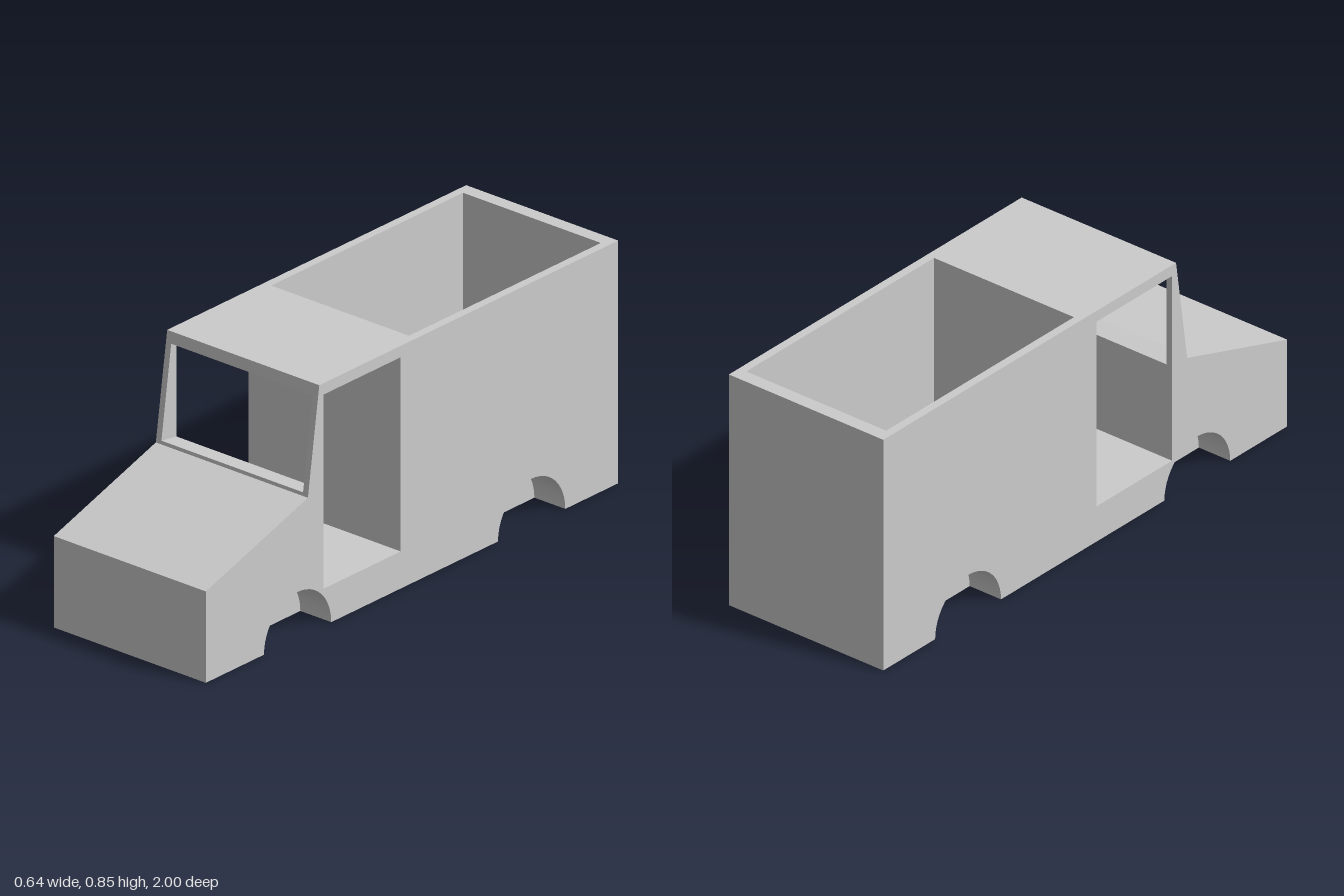
import * as THREE from 'three';
import { mergeGeometries } from 'three/addons/utils/BufferGeometryUtils.js';

const W = 0.32, H = 0.85;                                // half width, height
const HOOD = { y0: 0.32, z: 0.505, y1: 0.475 };
const ROOF_Z = 0.45;
const DOOR = { z0: 0.055, z1: 0.43, y0: 0.13, y1: 0.81 };
const GLASS = { x: 0.298, y0: 0.487, y1: 0.81 };
const BED = { x: 0.29, z0: -0.95, z1: -0.02, y: 0.2 };
const ARCH = { zs: [0.555, -0.58], r: 0.163, depth: 0.13, steps: 24 };

// Flat polygon through 3D points, with holes, facing roughly along dir
function face(dir, outline, ...holes) {
  const pts = outline.map(p => new THREE.Vector3(...p));
  const n = new THREE.Vector3();
  pts.forEach((p, i) => n.add(p.clone().cross(pts[(i + 1) % pts.length])));
  n.normalize();
  if (n.dot(new THREE.Vector3(...dir)) < 0) n.negate();
  const u = pts[1].clone().sub(pts[0]).normalize();
  const v = n.clone().cross(u);
  const flat = p => {
    const d = new THREE.Vector3(...p).sub(pts[0]);
    return new THREE.Vector2(d.dot(u), d.dot(v));
  };
  const shape = new THREE.Shape(outline.map(flat));
  shape.holes = holes.map(h => new THREE.Path(h.map(flat)));
  return new THREE.ShapeGeometry(shape)
    .applyMatrix4(new THREE.Matrix4().makeBasis(u, v, n).setPosition(pts[0]));
}

// Rectangle spanning x = -w..w between two (y, z) edges
const span = (w, y0, z0, y1, z1) => [[-w, y0, z0], [w, y0, z0], [w, y1, z1], [-w, y1, z1]];

// Points of a wheel arch from its front foot to its rear foot, as [y, z]
const archPoints = zc => Array.from({ length: ARCH.steps + 1 }, (_, i) => {
  const a = Math.PI * i / ARCH.steps;
  return [ARCH.r * Math.sin(a), zc + ARCH.r * Math.cos(a)];
});

export function createModel() {
  const group = new THREE.Group();
  const material = new THREE.MeshStandardMaterial({ color: 0xcccccc });
  const add = (name, faces) => {
    const mesh = new THREE.Mesh(mergeGeometries(faces), material);
    mesh.name = name;
    group.add(mesh);
  };
  const sides = [1, -1];

  // Side walls with door opening and arch cutouts
  for (const s of sides) {
    const at = ([y, z]) => [s * W, y, z];
    const outline = [[H, -1], [H, ROOF_Z], [HOOD.y1, HOOD.z], [HOOD.y0, 1], [0, 1],
      ...ARCH.zs.flatMap(archPoints), [0, -1]];
    const door = [[DOOR.y0, DOOR.z0], [DOOR.y0, DOOR.z1], [DOOR.y1, DOOR.z1], [DOOR.y1, DOOR.z0]];
    add(s > 0 ? 'leftSide' : 'rightSide', [face([s, 0, 0], outline.map(at), door.map(at))]);
  }

  // Nose, hood and back
  add('nose', [face([0, 0, 1], span(W, 0, 1, HOOD.y0, 1))]);
  add('hood', [face([0, 1, 0], span(W, HOOD.y0, 1, HOOD.y1, HOOD.z))]);
  add('backWall', [face([0, 0, -1], span(W, 0, -1, H, -1))]);

  // Windscreen frame: the opening is cut square to the sloping front
  const slope = (HOOD.z - ROOF_Z) / (H - HOOD.y1);
  const frontZ = y => HOOD.z - slope * (y - HOOD.y1);
  const innerY = y => y - slope * (frontZ(y) - DOOR.z1);
  const { x: gx, y0: g0, y1: g1 } = GLASS;
  const outer = span(gx, g0, frontZ(g0), g1, frontZ(g1));
  const inner = span(gx, innerY(g0), DOOR.z1, innerY(g1), DOOR.z1);
  const inward = [[0, 1, 0], [-1, 0, 0], [0, -1, 0], [1, 0, 0]];
  add('windscreenFrame', [
    face([0, 0, 1], span(W, HOOD.y1, HOOD.z, H, ROOF_Z), outer),
    ...inward.map((dir, i) => {
      const j = (i + 1) % 4;
      return face(dir, [outer[i], outer[j], inner[j], inner[i]]);
    }),
  ]);

  // Cab passage running from door to door
  add('cabInterior', [
    face([0, 1, 0], span(W, DOOR.y0, DOOR.z0, DOOR.y0, DOOR.z1)),
    face([0, -1, 0], span(W, DOOR.y1, DOOR.z0, DOOR.y1, DOOR.z1)),
    face([0, 0, 1], span(W, DOOR.y0, DOOR.z0, DOOR.y1, DOOR.z0)),
    face([0, 0, -1], span(W, DOOR.y0, DOOR.z1, DOOR.y1, DOOR.z1), inner),
  ]);

  // Roof, open above the cargo bay
  add('roof', [face([0, 1, 0], span(W, H, -1, H, ROOF_Z), span(BED.x, H, BED.z0, H, BED.z1))]);
  add('cargoBay', [
    face([0, 1, 0], span(BED.x, BED.y, BED.z0, BED.y, BED.z1)),
    face([0, 0, 1], span(BED.x, BED.y, BED.z0, H, BED.z0)),
    face([0, 0, -1], span(BED.x, BED.y, BED.z1, H, BED.z1)),
    ...sides.map(s => face([-s, 0, 0], [[BED.y, BED.z0], [BED.y, BED.z1], [H, BED.z1], [H, BED.z0]]
      .map(([y, z]) => [s * BED.x, y, z]))),
  ]);

  // Underside, notched at the wheels
  const xi = W - ARCH.depth;
  const edge = [[W, 1], ...ARCH.zs.flatMap(z => [
    [W, z + ARCH.r], [xi, z + ARCH.r], [xi, z - ARCH.r], [W, z - ARCH.r]]), [W, -1]];
  add('underside', [face([0, -1, 0], [
    ...edge.map(([x, z]) => [x, 0, z]),
    ...edge.map(([x, z]) => [-x, 0, z]).reverse(),
  ])]);

  // Wheel arches: curved lining and inner wall
  ARCH.zs.forEach((zc, k) => {
    for (const s of sides) {
      const pts = archPoints(zc);
      const lining = pts.slice(1).map(([y, z], i) => {
        const [py, pz] = pts[i];
        return face([0, -(y + py), 2 * zc - z - pz],
          [[s * W, py, pz], [s * W, y, z], [s * xi, y, z], [s * xi, py, pz]]);
      });
      const wall = face([s, 0, 0], pts.map(([y, z]) => [s * xi, y, z]));
      add((k ? 'rear' : 'front') + (s > 0 ? 'Left' : 'Right') + 'WheelArch', [...lining, wall]);
    }
  });

  return group;
}
